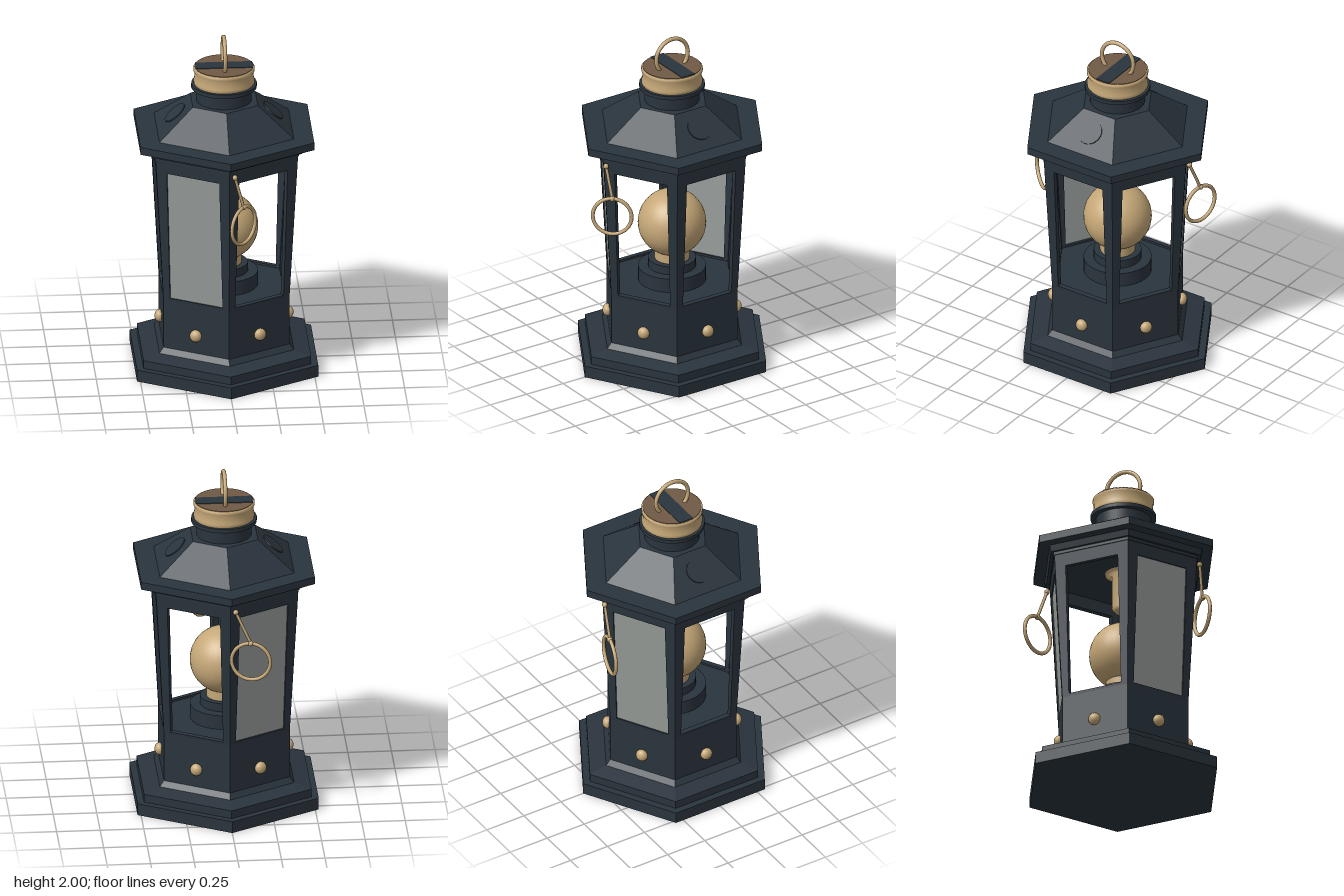
import * as THREE from 'three';

const mat = (name, color) => {
  const m = new THREE.MeshStandardMaterial({ color });
  m.name = name;
  return m;
};

export function createModel() {
  const iron = mat('dark iron', 0x2a343d);
  const brass = mat('brass', 0xc6a878);
  const glass = mat('grey glass', 0x969b98);
  const bronze = mat('brown bronze', 0x705a45);
  const lantern = new THREE.Group();
  lantern.name = 'lantern';

  const add = (name, geo, material, parent = lantern) => {
    const mesh = new THREE.Mesh(geo, material);
    mesh.name = name;
    parent.add(mesh);
    return mesh;
  };
  // Six-sided tier with crisp faces, corners pointing to +z and -z
  const hexTier = (name, r0, r1, y0, y1) => {
    const geo = new THREE.CylinderGeometry(r1, r0, y1 - y0, 6).toNonIndexed();
    geo.computeVertexNormals();
    add(name, geo, iron).position.y = (y0 + y1) / 2;
  };
  const drum = (name, r, y0, y1, material) => {
    add(name, new THREE.CylinderGeometry(r, r, y1 - y0, 32), material).position.y = (y0 + y1) / 2;
  };

  // Base and lower body
  hexTier('basePlate', 0.6, 0.6, 0, 0.07);
  hexTier('baseStep', 0.555, 0.555, 0.07, 0.118);
  hexTier('baseSlope', 0.55, 0.45, 0.118, 0.138);
  hexTier('baseFillet', 0.445, 0.417, 0.138, 0.17);
  hexTier('lowerBody', 0.417, 0.417, 0.138, 0.47);

  // Window frames, rivets and the two glazed panes
  const y0 = 0.46, y1 = 1.36, a0 = 0.361, a1 = 0.409, depth = 0.03;
  const tilt = Math.atan2(a1 - a0, y1 - y0);
  const h = Math.hypot(a1 - a0, y1 - y0);
  const w0 = a0 / Math.sqrt(3), w1 = a1 / Math.sqrt(3);
  const frame = new THREE.Shape([
    new THREE.Vector2(-w0, 0), new THREE.Vector2(w0, 0),
    new THREE.Vector2(w1, h), new THREE.Vector2(-w1, h)]);
  const hw = 0.167, low = 0.02, high = 0.81;
  frame.holes.push(new THREE.Path([
    new THREE.Vector2(-hw, low), new THREE.Vector2(-hw, high),
    new THREE.Vector2(hw, high), new THREE.Vector2(hw, low)]));
  const frameGeo = new THREE.ExtrudeGeometry(frame, { depth, bevelEnabled: false });
  frameGeo.translate(0, 0, -depth);
  const rivetGeo = new THREE.SphereGeometry(0.036, 16, 10);
  rivetGeo.scale(1, 1, 0.8);

  for (let i = 0; i < 6; i++) {
    const side = new THREE.Group();
    side.name = 'side' + (i + 1);
    side.rotation.y = Math.PI / 6 + i * Math.PI / 3;
    lantern.add(side);
    const panel = new THREE.Group();
    panel.name = 'windowPanel';
    panel.position.set(0, y0, a0);
    panel.rotation.x = tilt;
    side.add(panel);
    add('windowFrame', frameGeo, iron, panel);
    if (i === 3 || i === 5) {
      const pane = add('glassPane', new THREE.BoxGeometry(2 * hw, high - low, 0.008), glass, panel);
      pane.position.set(0, (low + high) / 2, -0.012);
    }
    add('rivet', rivetGeo, brass, side).position.set(0, 0.28, 0.37);
  }

  // Lamp on its pedestal
  drum('pedestalLower', 0.195, 0.46, 0.555, iron);
  drum('pedestalUpper', 0.137, 0.555, 0.605, iron);
  drum('bulbCollar', 0.1, 0.605, 0.67, brass);
  add('bulb', new THREE.SphereGeometry(0.196, 32, 24), brass).position.y = 0.828;

  // Fitting hanging from the ceiling
  const socket = [[0, 1.105], [0.05, 1.105], [0.065, 1.125], [0.065, 1.335], [0.105, 1.335], [0.105, 1.36]];
  add('ceilingSocket', new THREE.LatheGeometry(socket.map(p => new THREE.Vector2(...p)), 24), brass);

  // Cornice, eave and roof
  hexTier('cornice', 0.478, 0.478, 1.345, 1.362);
  hexTier('eaveUnderside', 0.495, 0.505, 1.362, 1.402);
  hexTier('eave', 0.575, 0.575, 1.4, 1.445);
  hexTier('roof', 0.445, 0.215, 1.445, 1.61);

  // Round covers on the left and right roof slopes
  for (const s of [-1, 1]) {
    const cover = add('roofCover', new THREE.CylinderGeometry(0.072, 0.072, 0.014, 28), iron);
    cover.position.set(s * 0.28, 1.532, 0);
    cover.rotation.z = -s * Math.atan2(0.165, 0.199);
  }

  // Neck and cap
  drum('neck', 0.158, 1.6, 1.695, iron);
  drum('neckFlange', 0.188, 1.69, 1.713, iron);
  const cap = [[0.168, 1.71], [0.175, 1.718], [0.175, 1.735], [0.17, 1.75], [0.17, 1.785], [0.176, 1.795], [0.176, 1.81], [0.168, 1.815], [0, 1.815]];
  add('cap', new THREE.LatheGeometry(cap.map(p => new THREE.Vector2(...p)), 40), brass);
  drum('capTop', 0.168, 1.812, 1.818, bronze);
  const stripe = add('capStripe', new THREE.BoxGeometry(0.325, 0.006, 0.09), iron);
  stripe.position.set(0, 1.818, -0.005);

  // Carrying loop
  const loop = add('carryLoop', new THREE.TorusGeometry(0.108, 0.012, 10, 40), brass);
  loop.position.y = 1.88;
  loop.rotation.y = Math.PI / 2;

  // Rings hanging from hooks on the front and back posts
  const hangingRing = (name, top, bottom, turn) => {
    const group = new THREE.Group();
    group.name = name;
    lantern.add(group);
    const a = new THREE.Vector3(...top), b = new THREE.Vector3(...bottom);
    add('hook', new THREE.TubeGeometry(new THREE.LineCurve3(a, b), 1, 0.009, 8), brass, group);
    add('hookPin', new THREE.SphereGeometry(0.016, 10, 8), brass, group).position.copy(a);
    add('knot', new THREE.SphereGeometry(0.017, 10, 8), brass, group).position.copy(b);
    const ring = add('ring', new THREE.TorusGeometry(0.112, 0.011, 10, 36), brass, group);
    ring.position.set(b.x, b.y - 0.112, b.z);
    ring.rotation.y = turn;
  };
  hangingRing('frontRing', [0.03, 1.32, 0.474], [0.08, 1.132, 0.465], 0.87);
  hangingRing('backRing', [-0.03, 1.32, -0.474], [-0.115, 1.132, -0.492], -0.24);

  return lantern;
}
